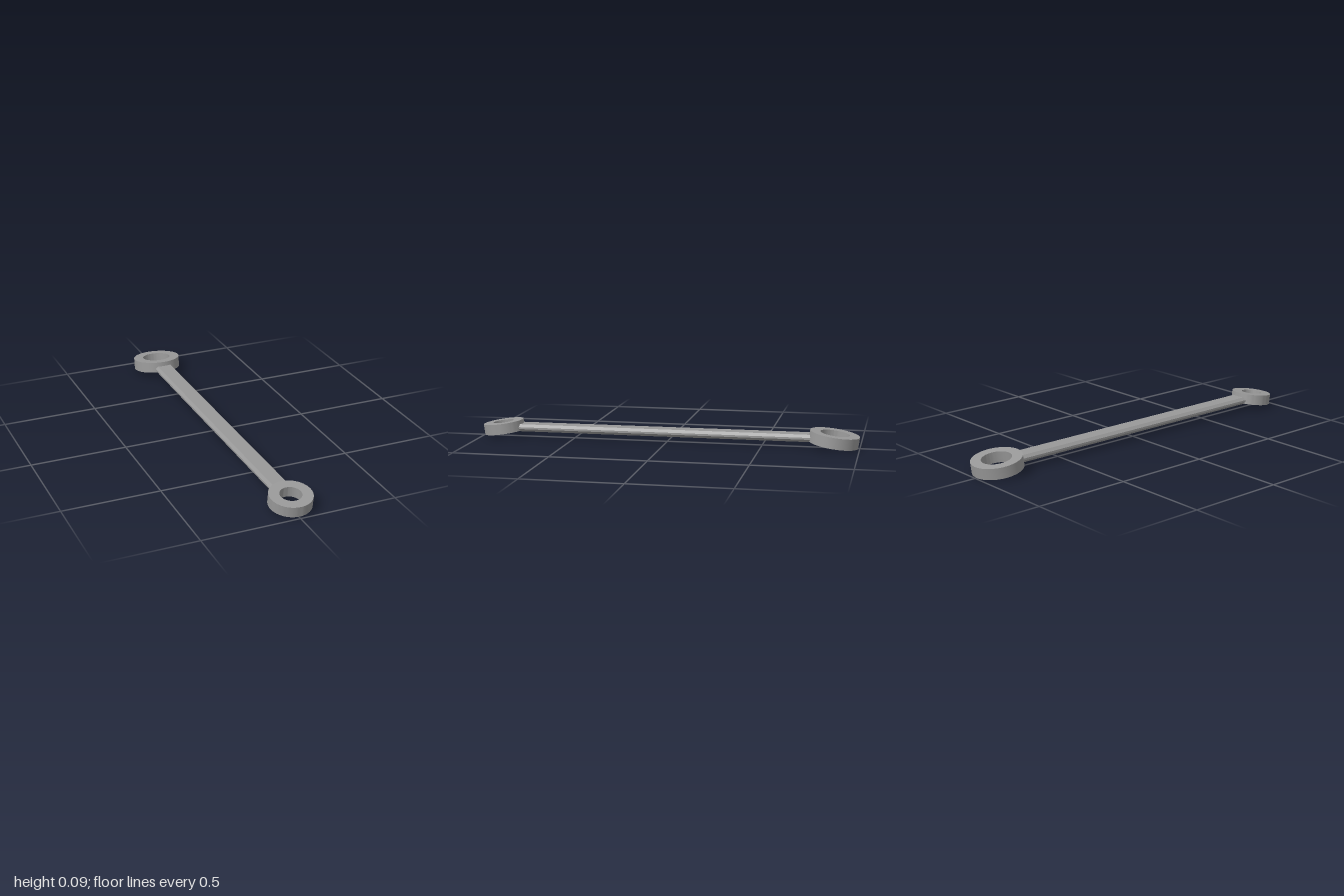
import * as THREE from 'three';
import { toCreasedNormals } from 'three/addons/utils/BufferGeometryUtils.js';

export function createModel() {
  const model = new THREE.Group();
  model.name = 'ringSpanner';

  const steel = new THREE.MeshStandardMaterial({ color: 0x999999 });
  steel.name = 'steel grey';

  // Tilted ring head: closed rectangular profile turned about y
  function addRing(name, outer, inner, thickness, y, z, tilt) {
    const h = thickness / 2;
    const profile = [[inner, -h], [outer, -h], [outer, h], [inner, h], [inner, -h]]
      .map(([r, v]) => new THREE.Vector2(r, v));
    const geometry = toCreasedNormals(new THREE.LatheGeometry(profile, 72), 0.6);
    const ring = new THREE.Mesh(geometry, steel);
    ring.name = name;
    ring.position.set(0, y, z);
    ring.rotation.x = tilt;
    model.add(ring);
  }

  const tilt = THREE.MathUtils.degToRad(8);
  addRing('smallRing', 0.107, 0.054, 0.055, 0.049, 0.89, tilt);
  addRing('largeRing', 0.128, 0.076, 0.058, 0.047, -0.869, -tilt);

  // Handle: bar with bevelled long edges, its ends set into the rings
  const half = [[0.037, 0.032], [0.05, 0.046], [0.05, 0.056], [0.037, 0.07]];
  const mirrored = half.map(([x, y]) => [-x, y]).reverse();
  const section = new THREE.Shape(
    [...half, ...mirrored].map(([x, y]) => new THREE.Vector2(x, y))
  );
  const back = -0.756;
  const front = 0.8;
  const handle = new THREE.Mesh(
    new THREE.ExtrudeGeometry(section, { depth: front - back, bevelEnabled: false }),
    steel
  );
  handle.name = 'handle';
  handle.position.z = back;
  model.add(handle);

  return model;
}
